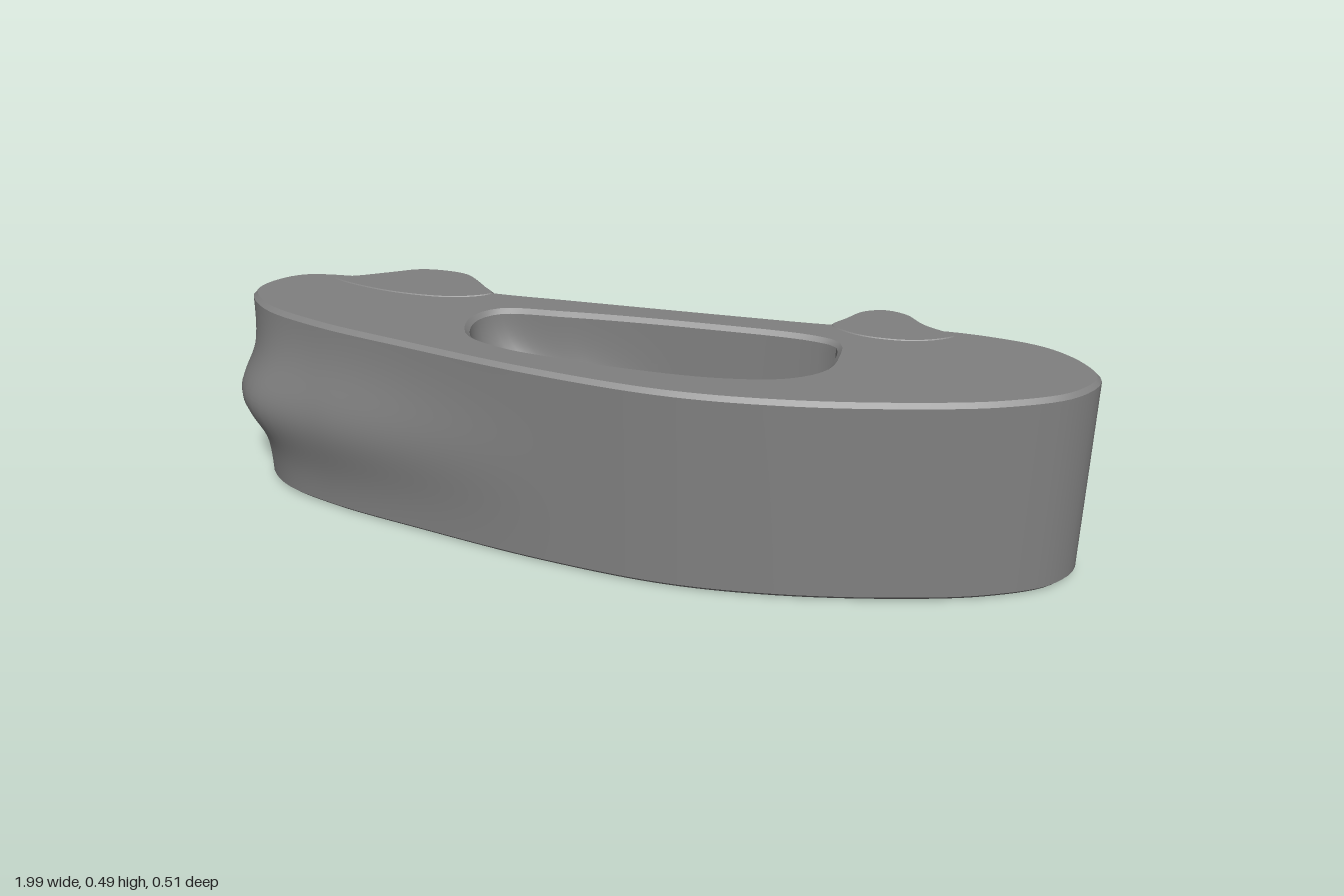
import * as THREE from 'three';
import { toCreasedNormals } from 'three/addons/utils/BufferGeometryUtils.js';

const material = new THREE.MeshStandardMaterial({ color: 0x808080 });
const BOTTOM = 0.003, TOP = 0.49, MID = 0.245;
const bell = (v, centre, width) => Math.exp(-(((v - centre) / width) ** 2));
const smooth = THREE.MathUtils.smoothstep;

// Smooth closed ring through a few [x, z] points
function ring(points, count) {
  const curve = new THREE.CatmullRomCurve3(
    points.map(([x, z]) => new THREE.Vector3(x, 0, z)), true, 'centripetal');
  return curve.getSpacedPoints(count).slice(0, count).map(p => new THREE.Vector2(p.x, p.z));
}

// Shift a ring into the material by d
function inset(pts, d) {
  const n = pts.length;
  return pts.map((p, i) => {
    const t = pts[(i + 1) % n].clone().sub(pts[(i + n - 1) % n]).normalize();
    return new THREE.Vector2(p.x - t.y * d, p.y + t.x * d);
  });
}

// Solid made of stacked rings. Each wall is [ring, rule]: the outer wall runs
// counter-clockwise in (x, z), a hole wall clockwise
function stack(walls, levels) {
  const pos = [], index = [];
  const ends = [[], []];
  for (const [base, rule] of walls) {
    const n = base.length, start = pos.length / 3;
    levels.forEach(([y, d], k) => {
      const level = inset(base, d).map(p => rule(p, y));
      level.forEach(p => pos.push(p.x, y, p.y));
      if (k === 0) ends[0].push({ level, at: start });
      if (k === levels.length - 1) ends[1].push({ level, at: start + k * n });
      if (k === 0) return;
      for (let i = 0; i < n; i++) {
        const j = (i + 1) % n, a = start + (k - 1) * n, c = a + n;
        index.push(a + i, c + i, a + j, a + j, c + i, c + j);
      }
    });
  }
  // Flat caps
  ends.forEach((parts, top) => {
    const ids = parts.flatMap(({ level, at }) => level.map((_, i) => at + i));
    const faces = THREE.ShapeUtils.triangulateShape(parts[0].level, parts.slice(1).map(p => p.level));
    for (const [a, b, c] of faces) {
      index.push(ids[a], ...(top ? [ids[c], ids[b]] : [ids[b], ids[c]]));
    }
  });
  const g = new THREE.BufferGeometry();
  g.setAttribute('position', new THREE.Float32BufferAttribute(pos, 3));
  g.setIndex(index);
  return toCreasedNormals(g, 0.65);
}

// Heights with a small chamfer at both ends: [y, inset]
function heights(y0, y1, r, steps) {
  const list = [[y0, r]];
  for (let i = 0; i <= steps; i++) list.push([y0 + r + (y1 - y0 - 2 * r) * i / steps, 0]);
  return [...list, [y1, r]];
}

export function createModel() {
  const group = new THREE.Group();
  const add = (geometry, name) => {
    const mesh = new THREE.Mesh(geometry, material);
    mesh.name = name;
    group.add(mesh);
  };

  // Curved body: bowed front, nearly straight back
  const outline = ring([
    [0.99, -0.015], [0.94, 0.07], [0.8, 0.145], [0.6, 0.2], [0.35, 0.242], [0.1, 0.253],
    [-0.2, 0.217], [-0.5, 0.153], [-0.75, 0.09], [-0.89, 0.03], [-0.95, -0.04],
    [-0.945, -0.09], [-0.88, -0.16], [-0.74, -0.182], [-0.6, -0.178], [-0.4, -0.158],
    [-0.2, -0.157], [0.2, -0.157], [0.4, -0.16], [0.6, -0.18], [0.75, -0.174],
    [0.88, -0.143], [0.96, -0.08],
  ], 180);
  const opening = ring([
    [0.42, -0.055], [0.37, -0.075], [0.1, -0.085], [-0.2, -0.078], [-0.36, -0.06],
    [-0.4, -0.01], [-0.385, 0.07], [-0.3, 0.115], [-0.15, 0.14], [0, 0.155], [0.2, 0.155],
    [0.34, 0.125], [0.41, 0.07], [0.425, 0],
  ], 90);

  // Bulged right end swelling into the front, and grooves in the back beside the lugs
  const bodyRule = (p, y) => {
    const end = smooth(-p.x, 0.75, 0.95) * smooth(p.y, -0.17, -0.04) * bell(y, MID, 0.085);
    const front = smooth(-p.x, 0.1, 0.9) * smooth(p.y, -0.08, 0.04) * bell(y, MID, 0.13);
    const groove = smooth(-p.y, 0.1, 0.15) *
      (bell(y, 0.175, 0.032) + bell(y, 0.315, 0.032)) *
      (bell(p.x, -0.55, 0.13) + bell(p.x, 0.53, 0.11));
    return new THREE.Vector2(p.x - 0.05 * end, p.y + 0.045 * front + 0.05 * groove);
  };
  // The opening narrows at one end halfway down
  const openingRule = (p, y) => {
    const s = smooth(-p.x, -0.1, 0.4) * bell(y, MID, 0.12);
    return new THREE.Vector2(p.x + 0.19 * s, p.y * (1 - 0.3 * s) + 0.015 * s);
  };
  add(stack([[outline, bodyRule], [opening, openingRule]], heights(BOTTOM, TOP, 0.01, 36)), 'body');

  // Rounded lugs on the back, a pair at each side
  const lugs = {
    right: [[-0.39, -0.145], [-0.43, -0.195], [-0.48, -0.243], [-0.54, -0.256], [-0.61, -0.25],
      [-0.67, -0.22], [-0.73, -0.188], [-0.8, -0.15], [-0.66, -0.1], [-0.47, -0.1]],
    left: [[0.68, -0.15], [0.605, -0.2], [0.565, -0.243], [0.51, -0.26], [0.455, -0.24],
      [0.42, -0.195], [0.39, -0.145], [0.46, -0.1], [0.6, -0.1]],
  };
  const keep = p => p;
  for (const [side, points] of Object.entries(lugs)) {
    const pts = ring(points, 60);
    if (THREE.ShapeUtils.isClockWise(pts)) pts.reverse();
    add(stack([[pts, keep]], heights(0.002, 0.145, 0.01, 3)), side + 'LowerLug');
    add(stack([[pts, keep]], heights(0.35, 0.492, 0.01, 3)), side + 'UpperLug');
  }
  return group;
}
